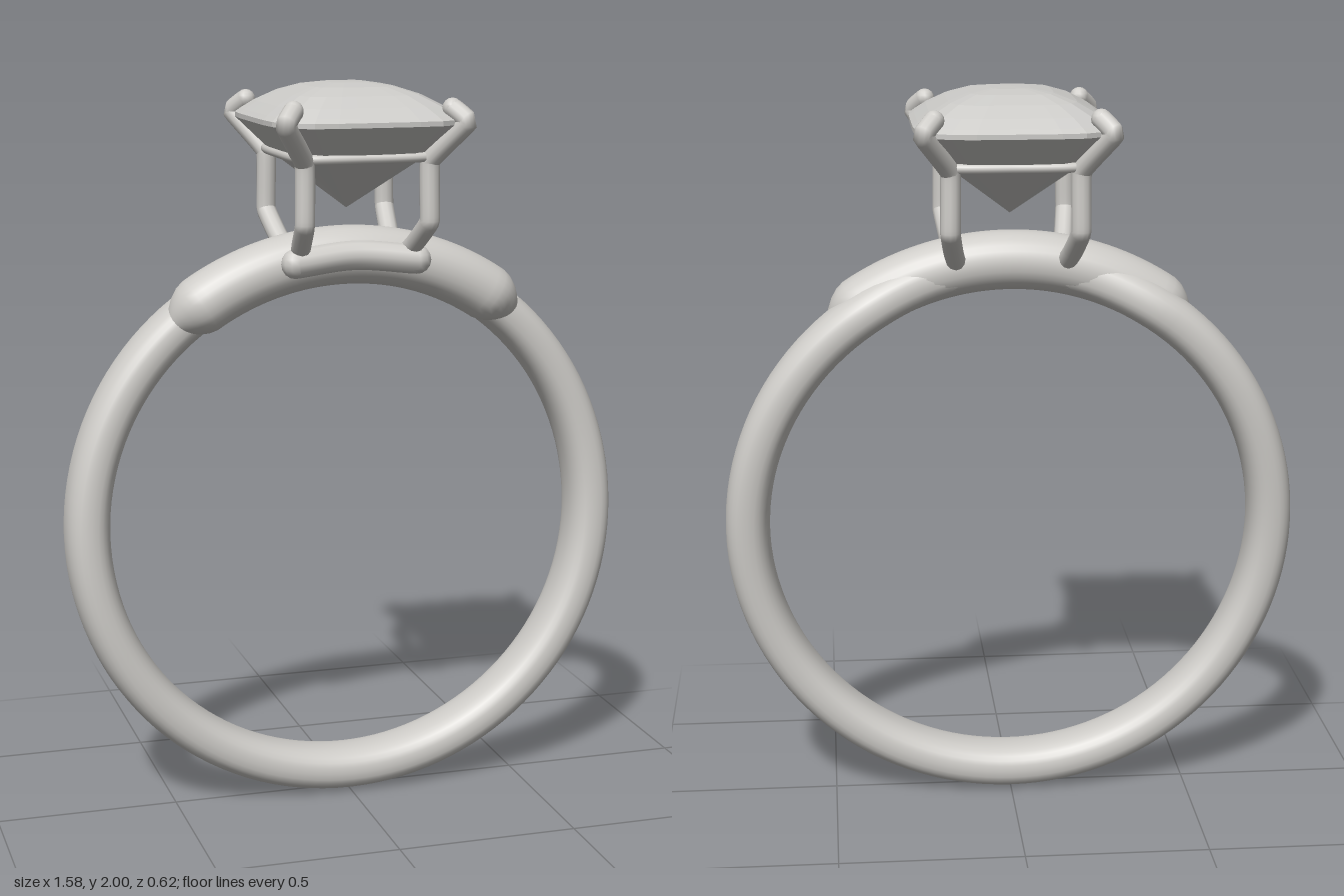
import * as THREE from 'three';

const metal = new THREE.MeshStandardMaterial({ color: 0xcfcdc9 });
metal.name = 'polished metal';
const stone = new THREE.MeshStandardMaterial({ color: 0xcccbc8 });
stone.name = 'clear stone';

const CENTRE_Y = 0.79;

// Skin a list of closed cross-sections, each an array of [x, y, z]
function loft(sections, closed) {
  const n = sections[0].length, rows = sections.length, index = [];
  for (let i = 0; i < (closed ? rows : rows - 1); i++) {
    for (let j = 0; j < n; j++) {
      const k = (j + 1) % n, m = (i + 1) % rows;
      const a = i * n + j, b = i * n + k, c = m * n + k, d = m * n + j;
      index.push(a, b, c, a, c, d);
    }
  }
  const g = new THREE.BufferGeometry();
  g.setAttribute('position', new THREE.Float32BufferAttribute(sections.flat(2), 3));
  g.setIndex(index);
  g.computeVertexNormals();
  return g;
}

// Rounded cross-section of the band, phi measured from the top of the ring
function bandSection(phi, radius, halfThick, halfWide, z, power) {
  const out = [];
  for (let j = 0; j < 28; j++) {
    const a = j / 28 * Math.PI * 2, c = Math.cos(a), s = Math.sin(a);
    const r = radius + halfThick * Math.sign(c) * Math.abs(c) ** (2 / power);
    out.push([r * Math.sin(phi), CENTRE_Y + r * Math.cos(phi),
      z + halfWide * Math.sign(s) * Math.abs(s) ** (2 / power)]);
  }
  return out;
}

function add(parent, name, geometry, material = metal) {
  const mesh = new THREE.Mesh(geometry, material);
  mesh.name = name;
  parent.add(mesh);
  return mesh;
}

// Bent wire with rounded ends
function wire(parent, name, points, radius, tension = 0.12, closed = false) {
  const pts = points.map(p => new THREE.Vector3(...p));
  const group = new THREE.Group();
  group.name = name;
  const curve = new THREE.CatmullRomCurve3(pts, closed, 'catmullrom', tension);
  add(group, name + 'Wire', new THREE.TubeGeometry(curve, 64, radius, 12, closed));
  if (!closed) {
    for (const p of [pts[0], pts[pts.length - 1]]) {
      add(group, name + 'End', new THREE.SphereGeometry(radius, 12, 8)).position.copy(p);
    }
  }
  parent.add(group);
}

// Cushion outline: rounded rectangle scaled by s
function cushion(s, y, count) {
  return Array.from({ length: count }, (_, j) => {
    const a = j / count * Math.PI * 2, c = Math.cos(a), d = Math.sin(a);
    const r = s / (Math.abs(c) ** 5 + Math.abs(d) ** 5) ** 0.2;
    return [0.265 * r * c, y, 0.308 * r * d];
  });
}

export function createModel() {
  const ring = new THREE.Group();
  ring.name = 'ring';
  const { smoothstep } = THREE.MathUtils;

  // Shank, swept backwards near the shoulders
  const shank = [];
  for (let i = 0; i < 128; i++) {
    const phi = i / 128 * Math.PI * 2;
    const fromTop = Math.min(phi, Math.PI * 2 - phi);
    const y = CENTRE_Y + 0.73 * Math.cos(phi);
    const z = -0.044 * smoothstep(y, 0.3, 1.4) * smoothstep(fromTop, 0.2, 0.62);
    shank.push(bandSection(phi, 0.729, 0.061, 0.083, z, 2.4));
  }
  add(ring, 'shank', loft(shank, true));

  // Thicker bridge over the top, with tapered ends
  const bridge = [];
  for (let i = 0; i <= 48; i++) {
    const phi = (i / 24 - 1) * 0.74;
    const k = Math.sqrt(Math.max(0, 1 - smoothstep(Math.abs(phi), 0.58, 0.74)));
    bridge.push(bandSection(phi, 0.742, 0.08 * k, 0.09 * k, 0, 2.1));
  }
  add(ring, 'bridge', loft(bridge, false));

  // Rod on the front of the bridge, joining the prong feet
  wire(ring, 'frontRod', [[-0.17, 1.525, 0.1], [0, 1.54, 0.085], [0.17, 1.525, 0.1]], 0.04, 0.5);

  // Four prongs and the rail that joins them
  for (const sx of [-1, 1]) {
    for (const sz of [-1, 1]) {
      const path = [[0.15, 1.54, 0.07], [0.16, 1.575, 0.12], [0.172, 1.64, 0.2],
        [0.172, 1.8, 0.2], [0.245, 1.905, 0.285], [0.215, 1.94, 0.25]];
      wire(ring, 'prong', path.map(([x, y, z]) => [sx * x, y, sz * z]), 0.027);
    }
  }
  wire(ring, 'galleryRail', [[0.17, 1.81, 0.2], [0, 1.81, 0.215], [-0.17, 1.81, 0.2], [-0.185, 1.81, 0],
    [-0.17, 1.81, -0.2], [0, 1.81, -0.215], [0.17, 1.81, -0.2], [0.185, 1.81, 0]], 0.013, 0.3, true);

  // Cushion-cut gem: faceted dome, thin girdle, pointed pavilion
  const levels = [0, 0.2, 0.42, 0.64, 0.83, 0.95, 1].map(s => [s, 1.91 + 0.09 * (1 - s ** 2.5)]);
  levels.push([1, 1.897], [0.63, 1.795], [0, 1.66]);
  const gem = loft(levels.map(([s, y]) => cushion(s, y, 32)), false).toNonIndexed();
  gem.computeVertexNormals();
  add(ring, 'gem', gem, stone);

  return ring;
}
